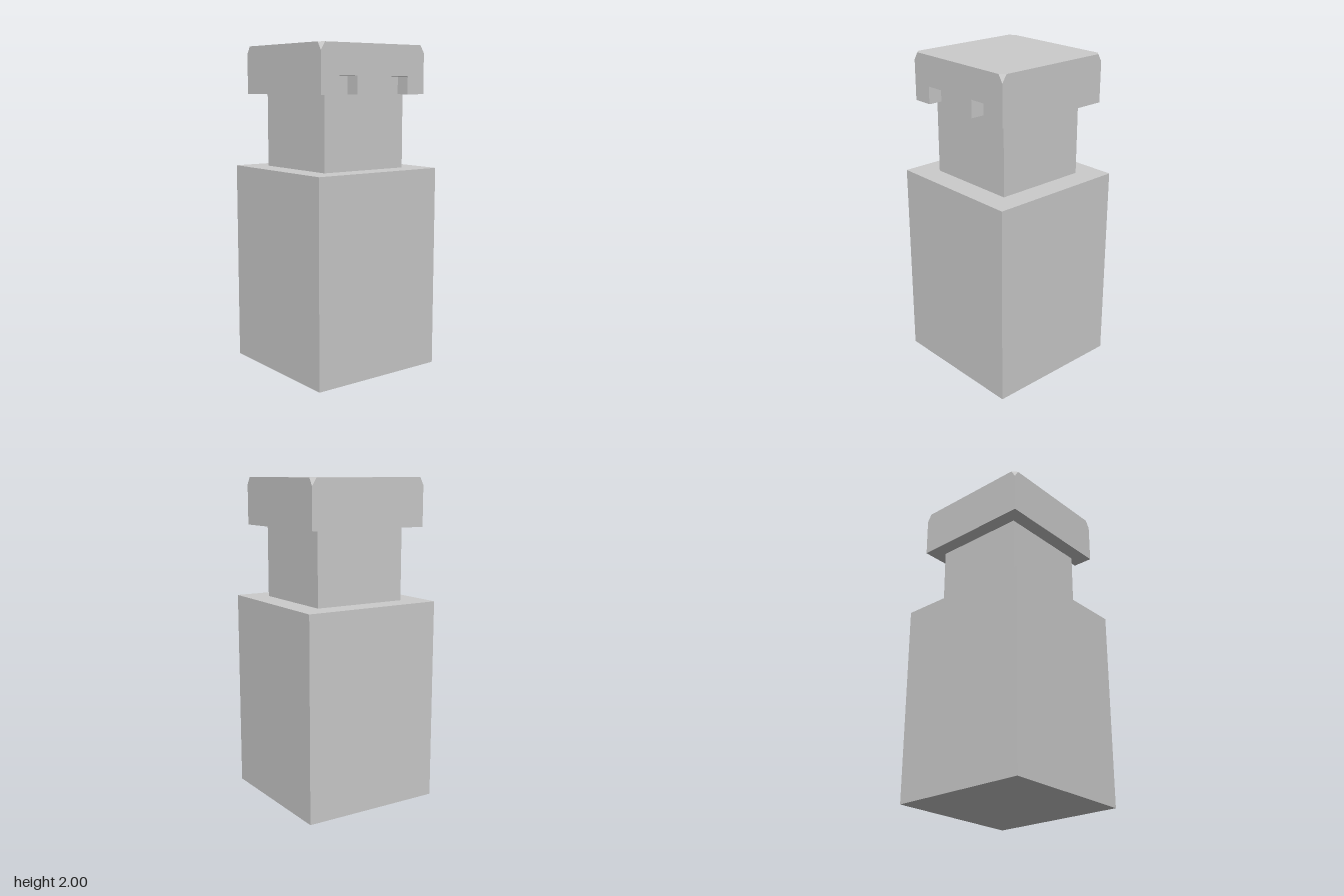
import * as THREE from 'three';
import { ConvexGeometry } from 'three/addons/geometries/ConvexGeometry.js';

const BODY = 0.447, NECK = 0.3, CAP = 0.39;                 // half widths
const BODY_TOP = 1.252, CAP_BOTTOM = 1.705, NOTCH_TOP = 1.813, TOP = 2;

export function createModel() {
  const model = new THREE.Group();
  model.name = 'squareBottle';
  const material = new THREE.MeshStandardMaterial({ color: 0xcccccc, flatShading: true });

  const add = (name, geometry, parent = model) => {
    const mesh = new THREE.Mesh(geometry, material);
    mesh.name = name;
    parent.add(mesh);
    return mesh;
  };

  const block = (name, half, y0, y1) => {
    add(name, new THREE.BoxGeometry(half * 2, y1 - y0, half * 2)).position.y = (y0 + y1) / 2;
  };

  block('body', BODY, 0, BODY_TOP);
  block('neck', NECK, BODY_TOP, CAP_BOTTOM);

  const cap = new THREE.Group();
  cap.name = 'cap';
  model.add(cap);

  // Cap top: a slab with its four upper corners cut off
  const cut = 0.03, drop = 0.047;
  const points = [];
  for (const sx of [-1, 1]) {
    for (const sz of [-1, 1]) {
      points.push(
        new THREE.Vector3(sx * CAP, NOTCH_TOP, sz * CAP),
        new THREE.Vector3(sx * CAP, TOP - drop, sz * CAP),
        new THREE.Vector3(sx * (CAP - cut), TOP, sz * CAP),
        new THREE.Vector3(sx * CAP, TOP, sz * (CAP - cut)),
      );
    }
  }
  add('capTop', new ConvexGeometry(points), cap);

  // Cap skirt: plan outline with two notches on the +x side, as deep as the neck
  const plan = new THREE.Shape();
  plan.moveTo(-CAP, -CAP);
  plan.lineTo(CAP, -CAP);
  for (const start of [-0.26, 0.13]) {
    plan.lineTo(CAP, start);
    plan.lineTo(NECK, start);
    plan.lineTo(NECK, start + 0.13);
    plan.lineTo(CAP, start + 0.13);
  }
  plan.lineTo(CAP, CAP);
  plan.lineTo(-CAP, CAP);
  plan.closePath();
  const skirt = new THREE.ExtrudeGeometry(plan, { depth: NOTCH_TOP - CAP_BOTTOM, bevelEnabled: false });
  skirt.rotateX(-Math.PI / 2);
  add('capSkirt', skirt, cap).position.y = CAP_BOTTOM;

  return model;
}
